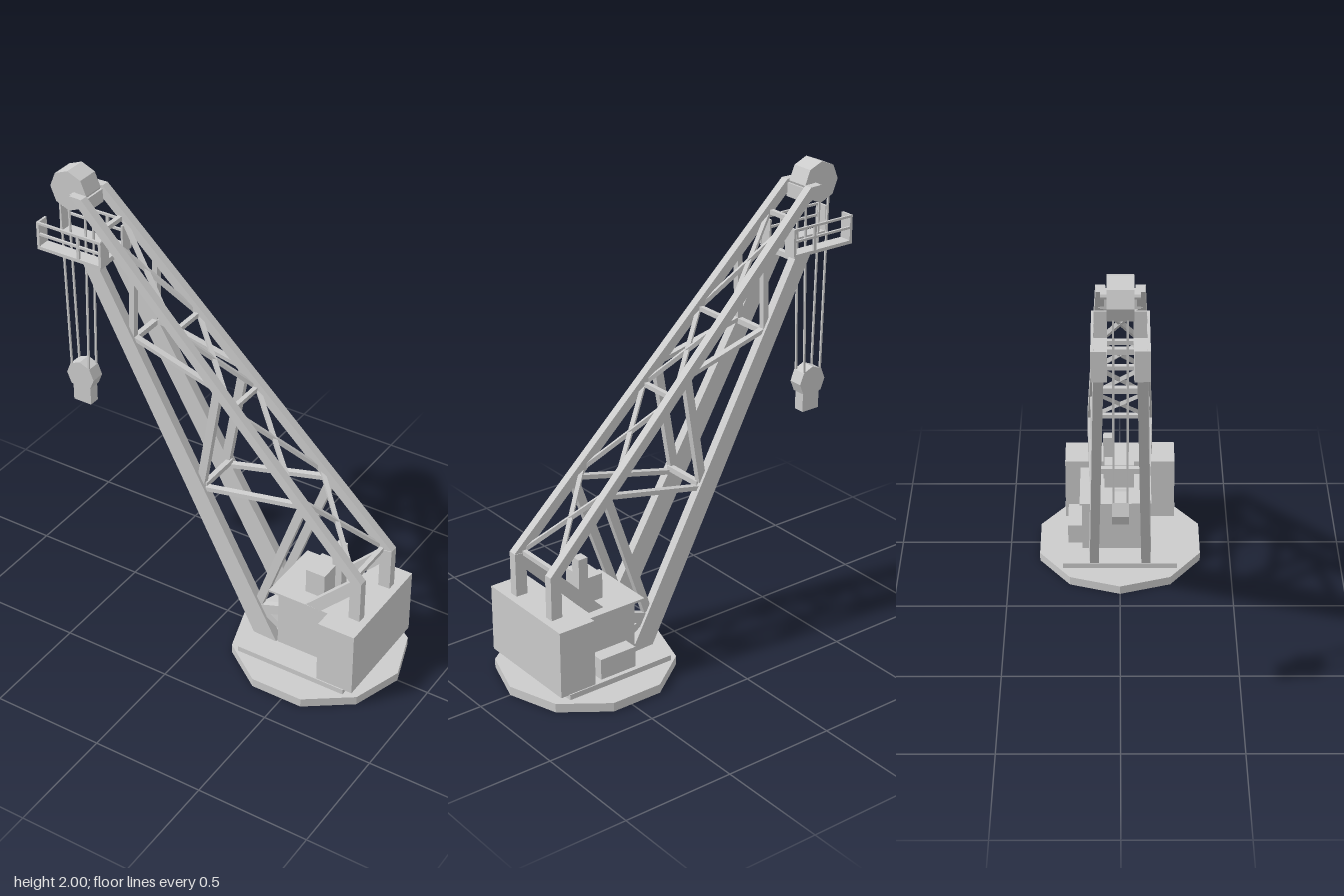
import * as THREE from 'three';

const mat = new THREE.MeshStandardMaterial({ color: 0xcccccc, flatShading: true });

export function createModel() {
  const root = new THREE.Group();
  const add = (name, geo, parent = root) => {
    const m = new THREE.Mesh(geo, mat);
    m.name = name;
    parent.add(m);
    return m;
  };
  const group = (name) => {
    const g = new THREE.Group();
    g.name = name;
    root.add(g);
    return g;
  };
  // Box given by its extents
  const box = (name, x0, x1, y0, y1, z0, z1, parent) =>
    add(name, new THREE.BoxGeometry(x1 - x0, y1 - y0, z1 - z0), parent)
      .position.set((x0 + x1) / 2, (y0 + y1) / 2, (z0 + z1) / 2);
  // Square bar between two points
  const bar = (name, a, b, t, parent) => {
    const p = new THREE.Vector3(...a), q = new THREE.Vector3(...b);
    const m = add(name, new THREE.BoxGeometry(t, t, p.distanceTo(q)), parent);
    m.position.copy(p).add(q).multiplyScalar(0.5);
    m.lookAt(q);
  };
  // Octagonal or other wheel with its axis along z
  const wheel = (name, x, y, r, w, sides) => {
    const g = new THREE.CylinderGeometry(r, r, w, sides);
    g.rotateX(Math.PI / 2);
    add(name, g).position.set(x, y, 0);
  };

  // Base and deck
  const base = new THREE.CylinderGeometry(0.382, 0.382, 0.04, 10);
  base.rotateY(Math.PI / 2);
  add('basePlate', base).position.set(0.473, 0.02, 0);
  add('slewRing', new THREE.CylinderGeometry(0.2, 0.2, 0.02, 10)).position.set(0.473, 0.047, 0);
  box('deck', 0.215, 0.73, 0.053, 0.077, -0.255, 0.255);

  // Machinery house
  box('house', 0.34, 0.6, 0.075, 0.335, -0.17, 0.135);
  box('houseRoof', 0.295, 0.6, 0.335, 0.345, -0.18, 0.14);
  box('counterweight', 0.6, 0.77, 0.075, 0.375, -0.25, 0.25);
  box('sideLocker', 0.385, 0.56, 0.075, 0.17, -0.235, -0.17);
  box('roofHousing', 0.43, 0.52, 0.345, 0.46, -0.07, 0.063);
  box('chimney', 0.505, 0.55, 0.345, 0.56, -0.075, -0.028);

  // Boom sides: flat members whose outer face leans inward towards the tip
  const outerZ = (x) => 0.093 + 0.04 * (x + 0.64);
  const boom = group('boom');
  const plate = (name, pts, depth, side, out = 0) => {
    const shape = new THREE.Shape(pts.map((p) => new THREE.Vector2(...p)));
    const g = new THREE.ExtrudeGeometry(shape, { depth, bevelEnabled: false });
    const pos = g.attributes.position;
    for (let i = 0; i < pos.count; i++) {
      const zo = outerZ(pos.getX(i)) + out;
      pos.setZ(i, pos.getZ(i) + (side > 0 ? zo - depth : -zo));
    }
    g.computeVertexNormals();
    add(name, g, boom);
  };
  const strut = (name, [ax, ay], [bx, by], w, side) => {
    const l = Math.hypot(bx - ax, by - ay);
    const nx = (-(by - ay) / l) * w / 2, ny = ((bx - ax) / l) * w / 2;
    plate(name, [[ax - nx, ay - ny], [bx - nx, by - ny], [bx + nx, by + ny], [ax + nx, ay + ny]], 0.028, side, -0.005);
  };
  for (const s of [1, -1]) {
    plate('lowerChord', [[0.22, 0.077], [0.335, 0.077], [-0.555, 1.63], [-0.64, 1.63]], 0.04, s, 0.008);
    plate('upperChord', [[-0.7, 1.915], [0.735, 0.51], [0.738, 0.57], [-0.64, 1.915]], 0.037, s);
    plate('rearPost', [[0.685, 0.37], [0.738, 0.37], [0.738, 0.57], [0.685, 0.565]], 0.04, s);
    plate('rearBrace', [[0.465, 0.335], [0.54, 0.335], [0.69, 0.49], [0.69, 0.565]], 0.037, s);
    strut('webPost', [-0.4, 1.66], [-0.408, 1.33], 0.026, s);
    strut('webDiagonal', [-0.41, 1.345], [0.03, 1.238], 0.018, s);
    strut('webPost', [0.02, 1.25], [-0.065, 0.75], 0.038, s);
    strut('webDiagonal', [-0.05, 0.722], [0.45, 0.835], 0.02, s);
    strut('webPost', [0.44, 0.83], [0.235, 0.24], 0.038, s);
    strut('footBracket', [0.24, 0.205], [0.36, 0.25], 0.045, s);
    strut('footBracket', [0.27, 0.2], [0.35, 0.15], 0.03, s);
  }

  // Cross bracing between the upper chords
  const topY = (x) => 1.895 - 0.977 * (x + 0.67);
  const nodes = [0.69, 0.39, 0.08, -0.2, -0.56];
  const at = (x, s) => [x, topY(x), s * (outerZ(x) - 0.02)];
  nodes.forEach((x, i) => {
    if (i !== 1) bar('crossBar', at(x, 1), at(x, -1), 0.02, boom);
    if (i === 0) return;
    bar('crossBrace', at(nodes[i - 1], 1), at(x, -1), 0.018, boom);
    bar('crossBrace', at(nodes[i - 1], -1), at(x, 1), 0.018, boom);
  });
  // Ties between the lower chords
  for (const [x, y] of [[-0.05, 0.74], [-0.405, 1.335], [-0.59, 1.61]]) {
    const z = outerZ(x) - 0.015;
    bar('lowerTie', [x, y, z], [x, y, -z], 0.024, boom);
  }
  box('tipBeam', -0.675, -0.64, 1.84, 1.9, -0.06, 0.06, boom);

  // Walkways with railings on both sides of the tip
  for (const s of [1, -1]) {
    const g = group(s > 0 ? 'frontWalkway' : 'backWalkway');
    const strip = (name, x0, x1, y0, y1, a, b) =>
      box(name, x0, x1, y0, y1, Math.min(a * s, b * s), Math.max(a * s, b * s), g);
    strip('floor', -0.863, -0.543, 1.63, 1.645, 0.05, 0.11);
    for (const x of [-0.863, -0.553]) strip('endPanel', x, x + 0.01, 1.63, 1.757, 0.05, 0.11);
    for (const y of [1.697, 1.747]) strip('rail', -0.863, -0.543, y, y + 0.01, 0.1, 0.11);
    for (const x of [-0.863, -0.663, -0.553]) strip('railPost', x, x + 0.013, 1.64, 1.755, 0.1, 0.11);
  }

  // Tip sheave, ropes and hook block
  wheel('tipSheave', -0.735, 1.91, 0.09, 0.1, 8);
  wheel('sheaveAxle', -0.7, 1.9, 0.015, 0.15, 8);
  for (const z of [0.027, -0.027]) {
    bar('hoistRope', [-0.797, 1.88, z], [-0.777, 1.0, z], 0.008);
    bar('hoistRope', [-0.67, 1.88, z], [-0.69, 1.0, z], 0.008);
  }
  wheel('hookSheave', -0.733, 1.003, 0.07, 0.064, 8);
  box('hookWeight', -0.777, -0.687, 0.867, 0.96, -0.025, 0.025);

  return root;
}
